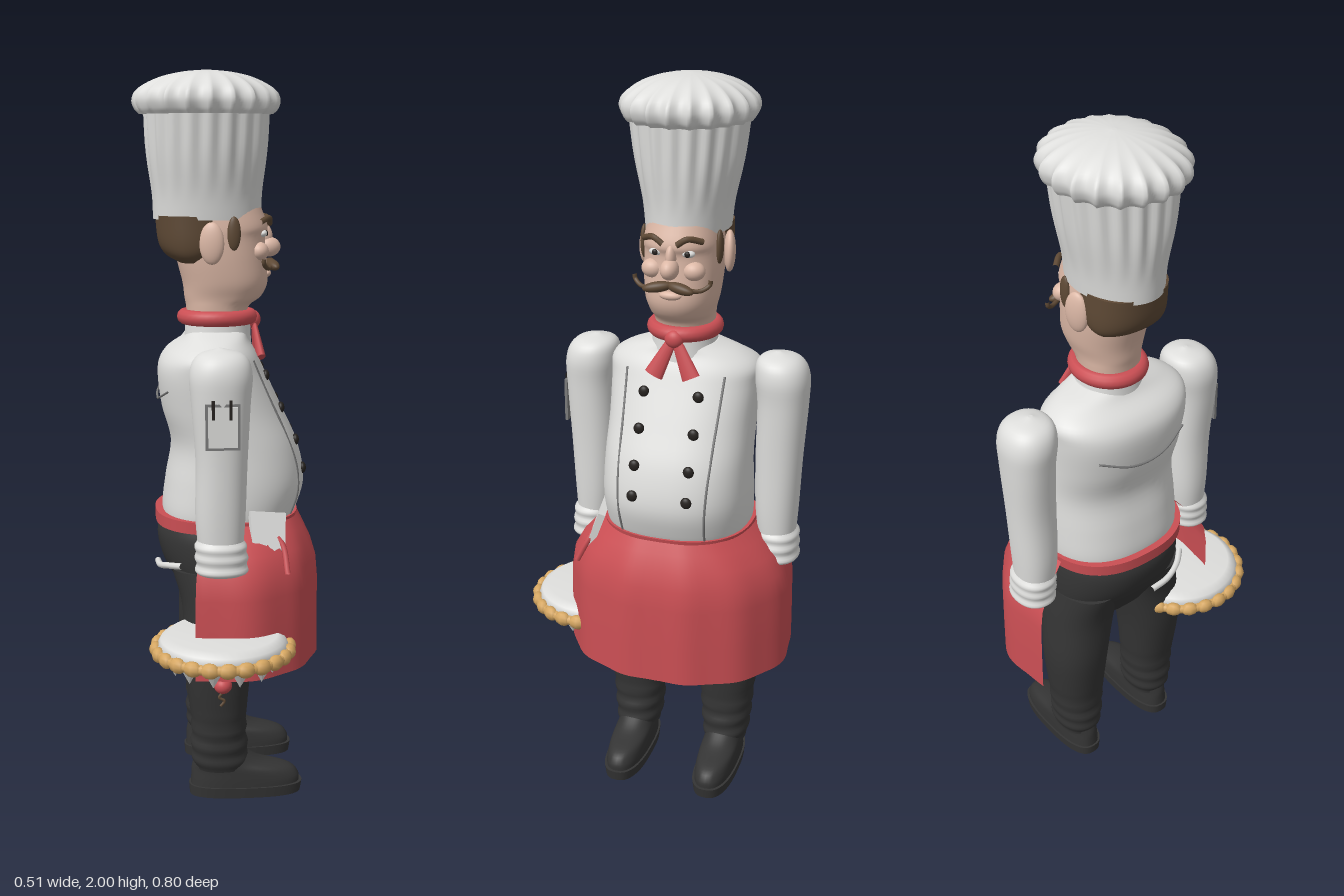
import * as THREE from 'three';

const paint = (name, hex, side = THREE.FrontSide) => {
  const m = new THREE.MeshStandardMaterial({ color: hex, side });
  m.name = name;
  return m;
};

// Cross-section rows: [y, back x, front x, centre z, half width z, roundness]
function sampler(rows) {
  const curve = (f) => new THREE.CatmullRomCurve3(rows.map(f), false, 'catmullrom', 0.5);
  const a = curve((r) => new THREE.Vector3(r[0], r[1], r[2]));
  const b = curve((r) => new THREE.Vector3(r[3], r[4], r[5] ?? 2.2));
  return (t) => {
    const p = a.getPoint(t), q = b.getPoint(t);
    return { y: p.x, cx: (p.y + p.z) / 2, rx: (p.z - p.y) / 2, cz: q.x, rz: q.y, p: q.z };
  };
}

// Smooth closed body through the rows, with flat end caps
function loft(rows, mod = () => 1, n = 40, steps = 5) {
  const at = sampler(rows), m = (rows.length - 1) * steps, pos = [], idx = [];
  const ring = (t) => {
    const s = at(t), e = 2 / s.p;
    for (let j = 0; j < n; j++) {
      const a = (j / n) * Math.PI * 2, c = Math.cos(a), d = Math.sin(a), k = mod(a, s.y);
      pos.push(s.cx + k * s.rx * Math.sign(c) * Math.abs(c) ** e, s.y,
        s.cz + k * s.rz * Math.sign(d) * Math.abs(d) ** e);
    }
    return s;
  };
  for (let i = 0; i <= m; i++) ring(i / m);
  for (let i = 0; i < m; i++) for (let j = 0; j < n; j++) {
    const a = i * n + j, b = i * n + (j + 1) % n;
    idx.push(a, a + n, b, b, a + n, b + n);
  }
  for (const t of [0, 1]) {
    const o = pos.length / 3, s = ring(t), c = pos.length / 3;
    pos.push(s.cx, s.y, s.cz);
    for (let j = 0; j < n; j++) {
      const a = o + j, b = o + (j + 1) % n;
      t ? idx.push(c, b, a) : idx.push(c, a, b);
    }
  }
  return finish(pos, idx);
}

function finish(pos, idx) {
  const g = new THREE.BufferGeometry();
  g.setAttribute('position', new THREE.Float32BufferAttribute(pos, 3));
  g.setIndex(idx);
  g.computeVertexNormals();
  return g;
}

// Front x of a lofted body at height y and side offset z
function frontX(rows, y, z) {
  const at = sampler(rows);
  let s = at(0);
  for (let t = 0; t <= 1 && s.y < y; t += 0.004) s = at(t);
  return s.cx + s.rx * Math.max(0, 1 - Math.abs(z / s.rz) ** s.p) ** (1 / s.p);
}

const V = (p) => new THREE.Vector3(...p);
const tube = (pts, r) => new THREE.TubeGeometry(new THREE.CatmullRomCurve3(pts.map(V)), 24, r, 8);
const ball = () => new THREE.SphereGeometry(1, 24, 16);

export function createModel() {
  const white = paint('cloth white', 0xdededc), red = paint('apron red', 0xcb4f54, THREE.DoubleSide);
  const black = paint('trouser black', 0x343434), skin = paint('skin', 0xdcb8a6);
  const hair = paint('hair brown', 0x5e4935), gold = paint('crust gold', 0xd6a762);
  const dark = paint('detail dark', 0x26221f), grey = paint('seam grey', 0x7c7c7c);
  const model = new THREE.Group(), chef = new THREE.Group();
  chef.name = 'chef';
  chef.position.z = -0.06;
  model.add(chef);
  const add = (name, geo, mat, pos = [0, 0, 0], scale = [1, 1, 1], rot = [0, 0, 0]) => {
    const m = new THREE.Mesh(geo, mat);
    m.name = name;
    m.position.set(...pos); m.scale.set(...scale); m.rotation.set(...rot);
    chef.add(m);
    return m;
  };

  // Jacket
  const torso = [[0.77, -0.18, 0.165, 0, 0.19, 2.4], [0.82, -0.185, 0.19, 0, 0.2, 2.4], [0.9, -0.175, 0.21, 0, 0.203, 2.4],
    [1.0, -0.16, 0.19, 0, 0.2, 2.4], [1.1, -0.185, 0.145, 0, 0.2, 2.4], [1.2, -0.195, 0.098, 0, 0.205, 2.4],
    [1.25, -0.175, 0.075, 0, 0.205, 2.3], [1.285, -0.13, 0.055, 0, 0.16], [1.31, -0.11, 0.05, 0, 0.09]];
  add('jacket', loft(torso, undefined, 56), white);
  add('collar', loft([[1.26, -0.125, 0.065, 0, 0.095], [1.3, -0.12, 0.062, 0, 0.088], [1.35, -0.115, 0.06, 0, 0.083]]), white);
  for (const s of [1, -1]) {
    for (const y of [1.19, 1.1, 1.01, 0.93])
      add('button', ball(), dark, [frontX(torso, y, 0.075) + 0.001, y, s * 0.075], [0.01, 0.016, 0.015]);
    const seam = [1.24, 1.15, 1.05, 0.95, 0.87, 0.8].map((y, i) => {
      const z = 0.135 - 0.004 * i;
      return [frontX(torso, y, z), y, s * z];
    });
    add('jacketSeam', tube(seam, 0.0035), grey);
  }
  add('yokeSeam', tube([[-0.17, 1.16, -0.14], [-0.194, 1.13, -0.06], [-0.196, 1.12, 0], [-0.194, 1.13, 0.06], [-0.17, 1.16, 0.14]], 0.003), grey);

  // Sleeves and cuffs
  for (const s of [1, -1]) {
    const z = (v) => v * s;
    add('sleeve', loft([[0.75, -0.1, 0.018, z(0.268), 0.05], [0.85, -0.108, 0.025, z(0.265), 0.059], [1.0, -0.107, 0.03, z(0.267), 0.064],
      [1.15, -0.118, 0.037, z(0.272), 0.068], [1.23, -0.122, 0.042, z(0.268), 0.072], [1.275, -0.1, 0.022, z(0.26), 0.056],
      [1.293, -0.045, -0.035, z(0.255), 0.006]]), white);
    add('cuff', loft([[0.69, -0.095, 0.018, z(0.275), 0.045], [0.7, -0.107, 0.03, z(0.275), 0.055], [0.73, -0.108, 0.03, z(0.273), 0.056],
      [0.76, -0.11, 0.028, z(0.272), 0.057], [0.785, -0.104, 0.02, z(0.27), 0.05]], (a, y) => 1 + 0.04 * Math.sin(y * 190)), white);
  }
  add('pocketEdge', new THREE.BoxGeometry(0.09, 0.12, 0.008), grey, [-0.04, 1.1, 0.336]);
  add('pocket', new THREE.BoxGeometry(0.076, 0.106, 0.008), white, [-0.04, 1.1, 0.338]);
  for (const x of [-0.065, -0.02])
    add('pen', new THREE.BoxGeometry(0.008, 0.05, 0.008), dark, [x, 1.145, 0.341]);

  // Trousers and shoes
  add('hips', loft([[0.54, -0.11, 0.05, 0, 0.16], [0.6, -0.145, 0.09, 0, 0.19], [0.67, -0.185, 0.12, 0, 0.198],
    [0.74, -0.2, 0.15, 0, 0.197], [0.79, -0.185, 0.16, 0, 0.19]]), black);
  for (const s of [1, -1]) {
    const c = s * 0.135;
    add('trouserLeg', loft([[0.08, -0.105, 0.045, c, 0.06], [0.13, -0.115, 0.045, c, 0.068], [0.22, -0.115, 0.04, c, 0.076],
      [0.4, -0.135, 0.055, c, 0.092], [0.55, -0.137, 0.075, s * 0.115, 0.1], [0.66, -0.165, 0.1, s * 0.1, 0.098]],
    (a, y) => 1 + (y < 0.24 ? 0.035 * Math.sin(y * 130 + 0.8 * Math.sin(a)) : 0), 36, 8), black);
    add('shoe', loft([[0.025, -0.117, 0.192, c, 0.055, 2.5], [0.05, -0.116, 0.19, c, 0.055, 2.4], [0.075, -0.115, 0.165, c, 0.054],
      [0.097, -0.11, 0.085, c, 0.052], [0.13, -0.1, 0.03, c, 0.05]]), black);
    add('shoeSole', loft([[0, -0.12, 0.195, c, 0.057, 2.6], [0.03, -0.122, 0.2, c, 0.06, 2.6]]), black);
  }
  add('pocketCloth', tube([[-0.2, 0.655, 0.02], [-0.195, 0.66, 0.08], [-0.175, 0.672, 0.13], [-0.14, 0.68, 0.17]], 0.009), white);

  // Apron: plan outline widening from the waist to the hem
  const waist = new THREE.CatmullRomCurve3([[-0.08, 0, 0.205], [0.0, 0, 0.21], [0.09, 0, 0.19], [0.155, 0, 0.14], [0.187, 0, 0.075], [0.193, 0, 0]].map(V));
  const hem = new THREE.CatmullRomCurve3([[-0.11, 0, 0.3], [0.0, 0, 0.318], [0.11, 0, 0.285], [0.19, 0, 0.21], [0.238, 0, 0.11], [0.25, 0, 0]].map(V));
  const flare = [[0.8, 0], [0.77, 0.28], [0.73, 0.62], [0.68, 0.88], [0.62, 0.97], [0.5, 0.99], [0.4, 1]];
  const pos = [], idx = [], n = 60;
  flare.forEach(([y, k], i) => {
    for (let j = 0; j <= n; j++) {
      const u = 1 - Math.abs(1 - (2 * j) / n), s = j <= n / 2 ? 1 : -1;
      const p = waist.getPoint(u).lerp(hem.getPoint(u), k), f = 1 + 0.012 * k * Math.cos(u * 22);
      pos.push(p.x * f, y, s * p.z * f);
      if (i && j) {
        const b = i * (n + 1) + j, a = b - n - 1;
        idx.push(a, a - 1, b, b, a - 1, b - 1);
      }
    }
  });
  add('apron', finish(pos, idx), red);
  add('apronBand', loft([[0.775, -0.205, 0.185, 0, 0.205, 2.4], [0.808, -0.205, 0.192, 0, 0.208, 2.4]], undefined, 56), red);

  // Towel tucked into the apron
  const cloth = new THREE.Shape([[0.04, 0.84], [0.14, 0.835], [0.135, 0.72], [0.12, 0.74], [0.1, 0.73], [0.085, 0.75], [0.07, 0.7], [0.045, 0.71]]
    .map(([x, y]) => new THREE.Vector2(x, y - 0.84)));
  add('towel', new THREE.ExtrudeGeometry(cloth, { depth: 0.02, bevelEnabled: false }), white, [0, 0.84, 0.2], [1, 1, 1], [-0.36, 0.2, 0]);
  add('apronTie', tube([[0.1, 0.79, 0.205], [0.13, 0.75, 0.225], [0.14, 0.68, 0.26]], 0.008), red);

  // Neckerchief
  add('neckerchief', new THREE.TorusGeometry(0.09, 0.021, 12, 40), red, [-0.03, 1.345, 0], [1, 0.92, 1], [Math.PI / 2, 0, 0]);
  add('neckerchiefKnot', ball(), red, [0.07, 1.335, 0], [0.02, 0.025, 0.026]);
  for (const s of [1, -1])
    add('neckerchiefTail', new THREE.CylinderGeometry(0.013, 0.026, 0.11, 16), red, [0.078, 1.285, s * 0.028], [0.5, 1, 1], [-s * 0.45, 0, 0.15]);

  // Head
  add('head', loft([[1.3, -0.11, 0.045, 0, 0.075], [1.37, -0.115, 0.055, 0, 0.08], [1.4, -0.12, 0.09, 0, 0.085], [1.44, -0.125, 0.108, 0, 0.096],
    [1.5, -0.14, 0.105, 0, 0.102], [1.56, -0.15, 0.1, 0, 0.103], [1.59, -0.15, 0.108, 0, 0.102], [1.64, -0.15, 0.09, 0, 0.095]]), skin);
  add('hairBack', loft([[1.495, -0.135, -0.07, 0, 0.08], [1.515, -0.17, -0.03, 0, 0.1], [1.55, -0.19, 0.0, 0, 0.108], [1.62, -0.198, 0.005, 0, 0.108]]), hair);
  add('nose', ball(), skin, [0.112, 1.533, 0], [0.032, 0.027, 0.024]);
  add('noseBridge', ball(), skin, [0.1, 1.56, 0], [0.022, 0.035, 0.014]);
  add('lip', ball(), skin, [0.103, 1.462, 0], [0.015, 0.012, 0.03]);
  for (const s of [1, -1]) {
    add('ear', ball(), skin, [-0.052, 1.55, s * 0.112], [0.034, 0.056, 0.016], [0, -s * 0.3, 0]);
    add('sideburn', ball(), hair, [0.008, 1.575, s * 0.102], [0.018, 0.045, 0.01]);
    add('cheek', ball(), skin, [0.08, 1.525, s * 0.055], [0.026, 0.025, 0.03]);
    add('eye', ball(), white, [0.091, 1.572, s * 0.043], [0.012, 0.01, 0.018]);
    add('pupil', ball(), dark, [0.1, 1.572, s * 0.043], [0.005, 0.008, 0.008]);
    add('eyebrow', tube([[0.112, 1.597, s * 0.018], [0.107, 1.613, s * 0.045], [0.08, 1.603, s * 0.078]], 0.008), hair);
    add('moustache', ball(), hair, [0.118, 1.487, s * 0.03], [0.016, 0.014, 0.04], [s * 0.15, s * 0.25, 0]);
    add('moustacheCurl', tube([[0.115, 1.482, s * 0.045], [0.1, 1.481, s * 0.08], [0.088, 1.495, s * 0.1], [0.088, 1.508, s * 0.102]], 0.006), hair);
  }

  // Pleated hat
  const pleat = (a, y) => 1 + 0.03 * Math.min(1, Math.max(0, (y - 1.67) / 0.15)) * Math.cos(20 * a);
  add('hatBody', loft([[1.61, -0.203, 0.09, 0, 0.11, 2], [1.68, -0.206, 0.092, 0, 0.118, 2], [1.78, -0.217, 0.102, 0, 0.137, 2],
    [1.9, -0.222, 0.108, 0, 0.152, 2]], pleat, 120, 4), white);
  const scallop = (a, y) => 1 + 0.1 * (1 - Math.abs(Math.sin(10 * a))) * Math.min(1, (2.01 - y) / 0.07);
  const puff = [[1.885, 0.163, 0.148], [1.9, 0.176, 0.158], [1.925, 0.181, 0.163], [1.955, 0.165, 0.148], [1.98, 0.122, 0.11], [1.994, 0.067, 0.06], [2.0, 0.006, 0.006]];
  add('hatCrown', loft(puff.map(([y, rx, rz]) => [y, -0.058 - rx, -0.058 + rx, 0, rz, 2]), scallop, 160, 4), white);

  // Pie with a scalloped crust and pointed paper lace
  const [px, pz] = [-0.035, 0.263];
  const profile = [[0, 0.45], [0.12, 0.45], [0.165, 0.475], [0.178, 0.49], [0.168, 0.508], [0.148, 0.522], [0, 0.522]];
  add('pie', new THREE.LatheGeometry(profile.map(([r, y]) => new THREE.Vector2(r, y)), 48), white, [px, 0, pz]);
  add('crustRing', new THREE.TorusGeometry(0.178, 0.014, 8, 60), gold, [px, 0.48, pz], [1, 1, 1], [Math.PI / 2, 0, 0]);
  for (let i = 0; i < 24; i++) {
    const a = (i / 24) * Math.PI * 2, c = Math.cos(a), d = Math.sin(a);
    add('crustFold', new THREE.SphereGeometry(1, 8, 6), gold, [px + 0.181 * c, 0.48, pz + 0.181 * d], [0.018, 0.021, 0.027], [0, -a, 0]);
    if (i % 2) add('lacePoint', new THREE.ConeGeometry(0.034, 0.06, 6), white, [px + 0.135 * c, 0.445, pz + 0.135 * d], [1, 1, 1], [Math.PI, 0, 0]);
  }

  // Hanging bead under the pie
  add('beadCord', new THREE.CylinderGeometry(0.006, 0.006, 0.09, 8), red, [px, 0.42, pz]);
  add('bead', ball(), red, [px, 0.37, pz], [0.025, 0.023, 0.025]);
  add('beadTassel', tube([[px, 0.35, pz], [px - 0.01, 0.335, pz], [px + 0.004, 0.325, pz], [px - 0.006, 0.31, pz]], 0.004), hair);
  return model;
}
